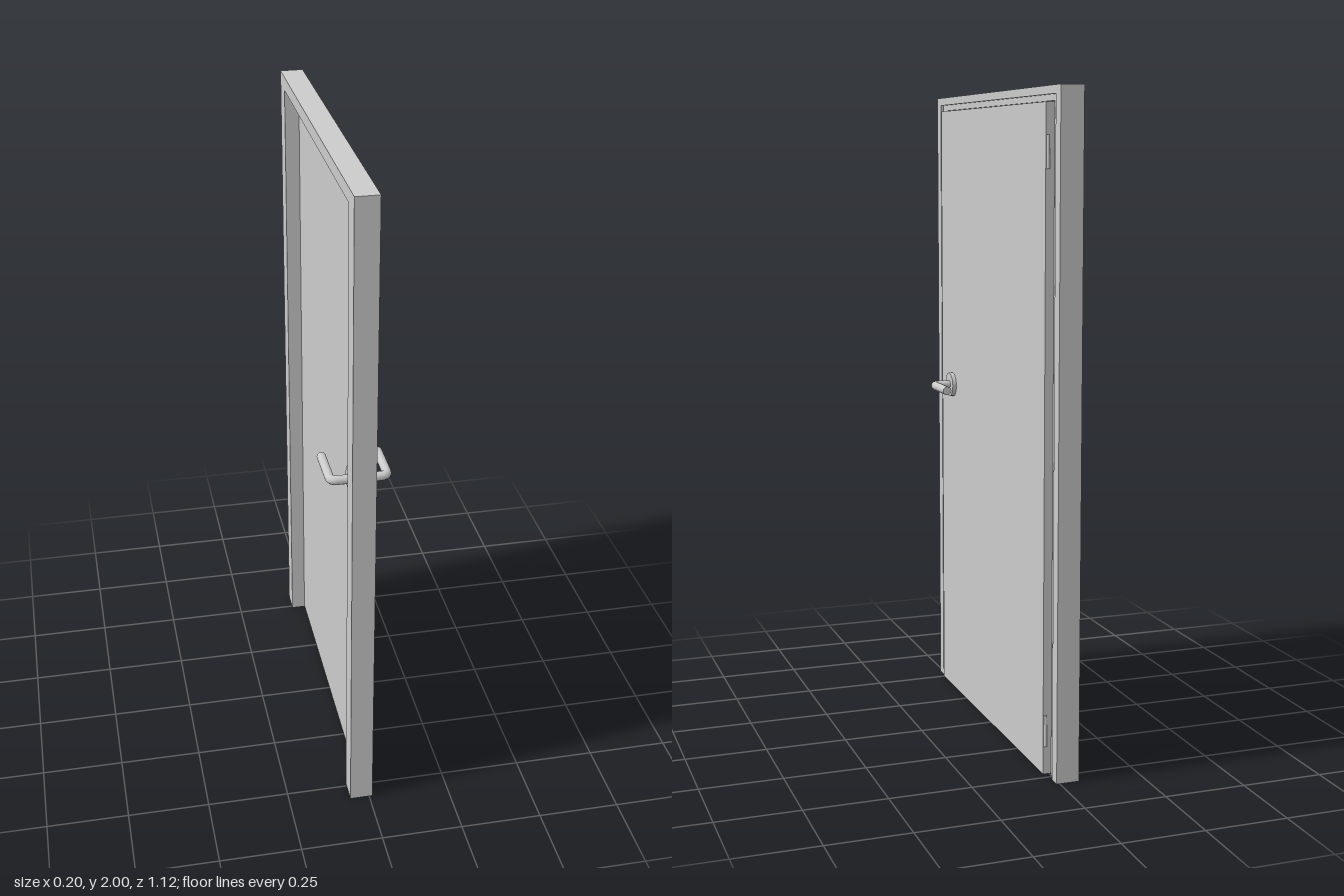
import * as THREE from 'three';

const material = new THREE.MeshStandardMaterial({ color: 0xcccccc });

function part(name, geometry, parent, x = 0, y = 0, z = 0) {
  const mesh = new THREE.Mesh(geometry, material);
  mesh.name = name;
  mesh.position.set(x, y, z);
  parent.add(mesh);
  return mesh;
}

// Doorway outline (two jambs and a head) extruded along x from x0 to x1
function doorway(inner, innerTop, x0, x1) {
  const shape = new THREE.Shape([
    [-0.56, 0], [-inner, 0], [-inner, innerTop], [inner, innerTop],
    [inner, 0], [0.56, 0], [0.56, 2], [-0.56, 2],
  ].map(([u, v]) => new THREE.Vector2(u, v)));
  return new THREE.ExtrudeGeometry(shape, { depth: x1 - x0, bevelEnabled: false })
    .rotateY(Math.PI / 2)
    .translate(x0, 0, 0);
}

// Round rosette and bent lever on one face of the leaf; side is +1 or -1 along x
function handle(side) {
  const group = new THREE.Group();
  group.name = side > 0 ? 'outerHandle' : 'innerHandle';
  const r = 0.014, reach = 0.086, bend = 0.02, end = -0.147;

  const rosette = new THREE.CylinderGeometry(0.04, 0.04, 0.016, 12).rotateZ(Math.PI / 2);
  part('rosette', rosette, group, side * 0.025);

  const p = (x, z) => new THREE.Vector3(side * x, 0, z);
  const path = new THREE.CurvePath();
  path.add(new THREE.LineCurve3(p(0.015, 0), p(reach - bend, 0)));
  path.add(new THREE.QuadraticBezierCurve3(p(reach - bend, 0), p(reach, 0), p(reach, -bend)));
  path.add(new THREE.LineCurve3(p(reach, -bend), p(reach, end)));
  part('lever', new THREE.TubeGeometry(path, 40, r, 12), group);

  // Flat end of the lever
  part('leverEnd', new THREE.CircleGeometry(r, 12).rotateY(Math.PI), group, side * reach, 0, end);
  return group;
}

export function createModel() {
  const model = new THREE.Group();
  model.name = 'door';

  // Frame: deep inner lining and a narrower raised lip forming the rebate
  const frame = new THREE.Group();
  frame.name = 'frame';
  part('frameLining', doorway(0.49, 1.958, -0.06, 0), frame);
  part('frameLip', doorway(0.523, 1.976, 0, 0.01), frame);
  model.add(frame);

  // Leaf, standing very slightly ajar
  const leaf = new THREE.Group();
  leaf.name = 'leaf';
  leaf.position.x = 0.002;
  leaf.rotation.y = -0.005;
  part('leafPanel', new THREE.BoxGeometry(0.04, 1.95, 0.974), leaf, 0, 0.98, 0.001);
  for (const side of [1, -1]) {
    const h = handle(side);
    h.position.set(0, 1.055, 0.373);
    leaf.add(h);
  }
  model.add(leaf);

  // Hinges
  for (const y of [0.138, 1.818]) {
    part('hinge', new THREE.CylinderGeometry(0.005, 0.005, 0.095, 12), model, 0.018, y, -0.488);
  }
  return model;
}
